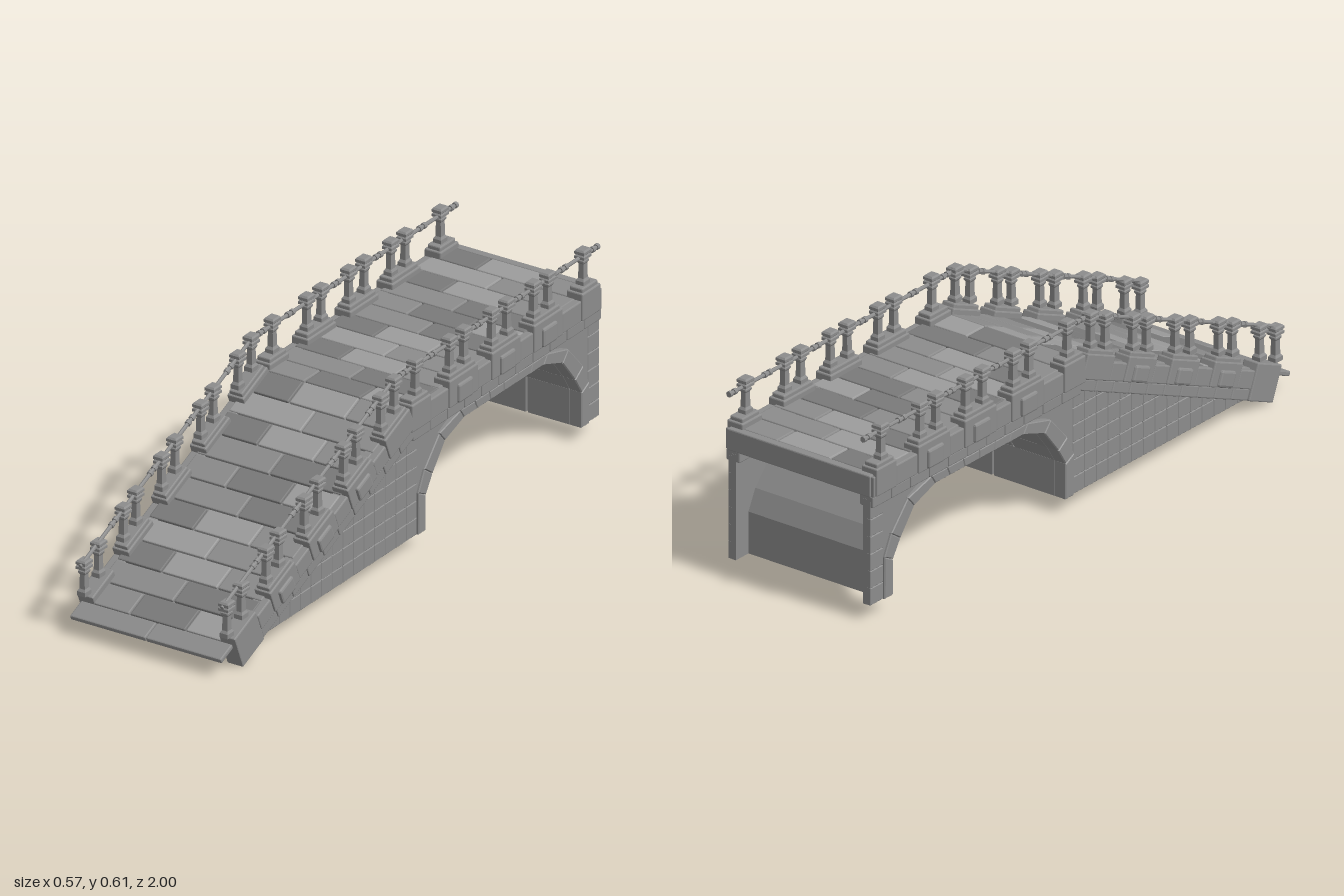
import * as THREE from 'three';
import { RoundedBoxGeometry } from 'three/addons/geometries/RoundedBoxGeometry.js';

const makeStone = color => new THREE.MeshStandardMaterial({ color, flatShading: true, side: THREE.DoubleSide });
const stone = makeStone(0x8c8c8c);
const pavingTones = [0x7a7a7a, 0x8c8c8c, 0x9c9c9c].map(makeStone);
const SLOPE = 0.3955, COS = Math.cos(SLOPE), SIN = Math.sin(SLOPE);
const DECK_Y = 0.47, HINGE_Z = 0.02, RAMP = 1.062, BACK = -0.985, ARCH_SUM = -0.955;

function add(parent, name, geometry, x = 0, y = 0, z = 0) {
  const mesh = new THREE.Mesh(geometry, stone);
  mesh.name = name;
  mesh.position.set(x, y, z);
  parent.add(mesh);
  return mesh;
}

// Chamfered stone given by its extents
function block(parent, name, x0, x1, y0, y1, z0, z1, chamfer = 0.004) {
  const geometry = new RoundedBoxGeometry(x1 - x0, y1 - y0, z1 - z0, 1, chamfer);
  return add(parent, name, geometry, (x0 + x1) / 2, (y0 + y1) / 2, (z0 + z1) / 2);
}

// Stone with a [z, y] outline, reaching from x0 to x1
function slab(parent, name, outline, x0, x1, bevel = 0.003) {
  const shape = new THREE.Shape(outline.map(([z, y]) => new THREE.Vector2(z, y)));
  const geometry = new THREE.ExtrudeGeometry(shape, {
    depth: x1 - x0 - 2 * bevel, bevelEnabled: bevel > 0, bevelSegments: 1,
    bevelSize: bevel, bevelThickness: bevel, bevelOffset: -bevel - 0.0003,
  });
  geometry.rotateY(-Math.PI / 2);
  return add(parent, name, geometry, x1 - bevel, 0, 0);
}

// Keep the part of an outline where f is positive
function clip(outline, f) {
  const out = [];
  outline.forEach((a, i) => {
    const b = outline[(i + 1) % outline.length], fa = f(a), fb = f(b);
    if (fa >= 0) out.push(a);
    if (fa * fb < 0) out.push(lerp(a, b, fa / (fa - fb)));
  });
  return out;
}

const lerp = (p, q, t) => [p[0] + (q[0] - p[0]) * t, p[1] + (q[1] - p[1]) * t];

// Height of a line parallel to the ramp, n above its surface
const rampY = (z, n) => DECK_Y + (n - (z - HINGE_Z) * SIN) / COS;

// Half an arch curve, mirrored, with its flat crown split into equal stones
function archCurve(half) {
  const far = half.map(([z, y]) => [ARCH_SUM - z, y]).reverse();
  const crown = [1, 2, 3, 4, 5].map(k => lerp(half[half.length - 1], far[0], k / 6));
  return [...half, ...crown, ...far];
}
const inner = archCurve([[-0.07, 0.05], [-0.07, 0.165], [-0.105, 0.22], [-0.17, 0.3], [-0.27, 0.335]]);
const outer = archCurve([[-0.03, 0.05], [-0.03, 0.185], [-0.062, 0.25], [-0.14, 0.335], [-0.25, 0.365]]);

// Rows of paving, three and two stones wide in turn, in mixed tones
function paving(parent, z0, z1, rows) {
  const step = (z1 - z0) / rows;
  add(parent, 'deckBed', new THREE.BoxGeometry(0.45, 0.012, z1 - z0), 0, -0.014, (z0 + z1) / 2);
  for (let r = 0; r < rows; r++) {
    const cuts = r % 2 ? [-0.255, 0, 0.255] : [-0.255, -0.098, 0.098, 0.255];
    for (let i = 0; i < cuts.length - 1; i++) {
      const paver = block(parent, 'pavingStone', cuts[i] + 0.002, cuts[i + 1] - 0.002, -0.016, 0,
        z0 + r * step + 0.002, z0 + (r + 1) * step - 0.002);
      paver.material = pavingTones[(r * r * 2 + i * 5 + (r >> 1)) % 3];
    }
  }
}

// Parapet course: plinths [centre, width, plaque] with plain stones between them
function parapet(parent, z0, z1, y0, y1, plinths) {
  let start = z0;
  const plain = (a, b) => {
    if (b - a > 0.01) block(parent, 'parapetStone', 0.222, 0.275, y0, y1, a + 0.001, b - 0.001);
  };
  for (const [c, w, plaque] of plinths) {
    plain(start, c - w / 2);
    block(parent, 'plinth', 0.22, 0.278, y0, y1 + 0.021, c - w / 2, c + w / 2);
    block(parent, 'plinthTop', 0.226, 0.272, y1 + 0.01, y1 + 0.034, c - w / 2 + 0.007, c + w / 2 - 0.007);
    if (plaque) block(parent, 'plaque', 0.25, 0.287, y0 + 0.003, y1 - 0.003, c - 0.037, c + 0.037, 0.007);
    start = c + w / 2;
  }
  plain(start, z1);
}

function stringCourse(parent, z0, z1, y0, y1, count) {
  const step = (z1 - z0) / count;
  for (let i = 0; i < count; i++) {
    block(parent, 'stringCourseStone', 0.222, 0.272, y0, y1, z0 + i * step + 0.001, z0 + (i + 1) * step - 0.001);
  }
}

// Square post turned from a stepped profile, with a broad two-tier cap
const postProfile = [[0, 0], [0.014, 0], [0.014, 0.014], [0.0095, 0.022], [0.0085, 0.068], [0.012, 0.074],
  [0.012, 0.079], [0.009, 0.083], [0.017, 0.087], [0.017, 0.095], [0.014, 0.099], [0.017, 0.102],
  [0.017, 0.11], [0.013, 0.115], [0, 0.115]];
const postGeometry = new THREE.LatheGeometry(
  postProfile.map(([r, y]) => new THREE.Vector2(r * Math.SQRT2, y)), 4).rotateY(Math.PI / 4).scale(1, 1, 1.2);

function rail(parent, z0, z1, y, collars) {
  const rod = (name, r, c, length) =>
    add(parent, name, new THREE.CylinderGeometry(r, r, length, 8).rotateX(Math.PI / 2), 0.248, y, c);
  rod('rail', 0.006, (z0 + z1) / 2, z1 - z0);
  for (const c of collars) {
    rod('railCollar', 0.0095, c - 0.011, 0.012);
    rod('railCollar', 0.0095, c + 0.011, 0.012);
  }
}

// Everything that repeats on the two flanks
function buildSide(ramp) {
  const side = new THREE.Group();

  // Wall core with the arch opening
  slab(side, 'wallCore', [[0.79, 0.05], [-0.02, 0.39], [BACK, 0.39], [BACK, 0.05], ...[...outer].reverse()], 0.235, 0.25, 0);

  // Square masonry, cut off below the ramp
  const cell = 0.0555;
  const wallStone = (z0, z1, row) => {
    const y = 0.05 + row * cell;
    const cut = clip([[z0, y], [z1, y], [z1, y + cell], [z0, y + cell]],
      p => Math.min(rampY(p[0], -0.088), 0.385) - p[1]);
    if (cut.length < 3) return;
    const area = THREE.ShapeUtils.area(cut.map(([z, h]) => ({ x: z, y: h })));
    if (Math.abs(area) > 0.0003) slab(side, 'wallStone', cut, 0.242, 0.264, 0.0022);
  };
  for (let row = 0; row < 6; row++) {
    for (let col = 0; col < 15; col++) wallStone(-0.03 + col * cell, -0.03 + (col + 1) * cell, row);
    wallStone(BACK, -0.925, row);
  }

  // Arch ring and the small stones in its corners
  for (let i = 0; i < inner.length - 1; i++) {
    slab(side, 'archStone', [inner[i], inner[i + 1], outer[i + 1], outer[i]], 0.225, 0.27);
  }
  const corner = [[-0.03, 0.37], [-0.03, 0.185], [-0.062, 0.25], [-0.14, 0.335], [-0.22, 0.37]];
  slab(side, 'spandrelStone', corner, 0.24, 0.262, 0);
  slab(side, 'spandrelStone', corner.map(([z, y]) => [ARCH_SUM - z, y]), 0.24, 0.262, 0);

  // Level parapet, flush with the paving between its plinths
  stringCourse(side, BACK, 0.0, 0.365, 0.402, 11);
  parapet(side, BACK, 0.02, 0.4, 0.467, [[-0.925, 0.095, false], [-0.7, 0.15, true],
    [-0.48, 0.15, true], [-0.257, 0.15, true], [-0.035, 0.1, false]]);
  rail(side, -1, 0.045, 0.588, [-0.985, -0.82, -0.59, -0.37, -0.13, 0.02]);
  for (const z of [-0.92, -0.735, -0.66, -0.52, -0.44, -0.295, -0.22, -0.04]) {
    add(side, 'post', postGeometry, 0.25, 0.499, z);
  }

  // Sloping parapet ending in one tall stone
  const slope = ramp();
  side.add(slope);
  stringCourse(slope, 0, 0.87, -0.095, -0.058, 10);
  parapet(slope, 0, 0.87, -0.06, -0.003, [[0.071, 0.14, false], [0.285, 0.14, true],
    [0.505, 0.14, true], [0.724, 0.14, true]]);
  block(slope, 'endStone', 0.221, 0.277, -0.095, 0.021, 0.871, 0.993);
  rail(slope, -0.02, 0.975, 0.128, [0.13, 0.35, 0.565, 0.785]);
  for (const z of [0.07, 0.14, 0.27, 0.335, 0.47, 0.54, 0.675, 0.74, 0.87, 0.945]) {
    add(side, 'post', postGeometry, 0.25, rampY(z, z > 0.8 ? 0.026 : 0.034), z);
  }
  return side;
}

export function createModel() {
  const bridge = new THREE.Group();
  bridge.name = 'stoneBridge';

  // Frame whose z runs down the ramp and whose y is normal to it
  const ramp = () => {
    const frame = new THREE.Group();
    frame.name = 'ramp';
    frame.position.set(0, DECK_Y, HINGE_Z);
    frame.rotation.x = SLOPE;
    return frame;
  };

  // Level deck and end beam
  const deck = new THREE.Group();
  deck.name = 'levelDeck';
  deck.position.y = DECK_Y;
  paving(deck, -0.965, HINGE_Z, 11);
  block(deck, 'endBeam', -0.265, 0.265, -0.07, 0, -0.99, -0.963);
  bridge.add(deck);

  // Sloping deck with a wide sill at its foot
  const slope = ramp();
  paving(slope, 0, RAMP - 0.067, 11);
  for (const x of [-0.265, 0.001]) {
    block(slope, 'sill', x, x + 0.264, -0.016, 0, RAMP - 0.067, RAMP);
  }
  bridge.add(slope);

  // Barrel vault: smooth shell lined with panels
  const shell = inner.map((p, i) => lerp(p, outer[i], 0.3));
  slab(bridge, 'vaultShell', [...shell, ...[...outer].reverse()], -0.24, 0.24, 0);
  for (let i = 0; i < inner.length - 1; i++) {
    const outline = [inner[i], inner[i + 1], lerp(inner[i + 1], outer[i + 1], 0.45), lerp(inner[i], outer[i], 0.45)];
    const count = i % 2 ? 3 : 2, width = 0.46 / count;
    for (let k = 0; k < count; k++) {
      slab(bridge, 'vaultPanel', outline, -0.23 + k * width + 0.001, -0.23 + (k + 1) * width - 0.001);
    }
  }

  // Two mirrored flanks
  const left = buildSide(ramp);
  left.name = 'leftSide';
  const right = left.clone();
  right.name = 'rightSide';
  right.scale.x = -1;
  bridge.add(left, right);
  return bridge;
}
